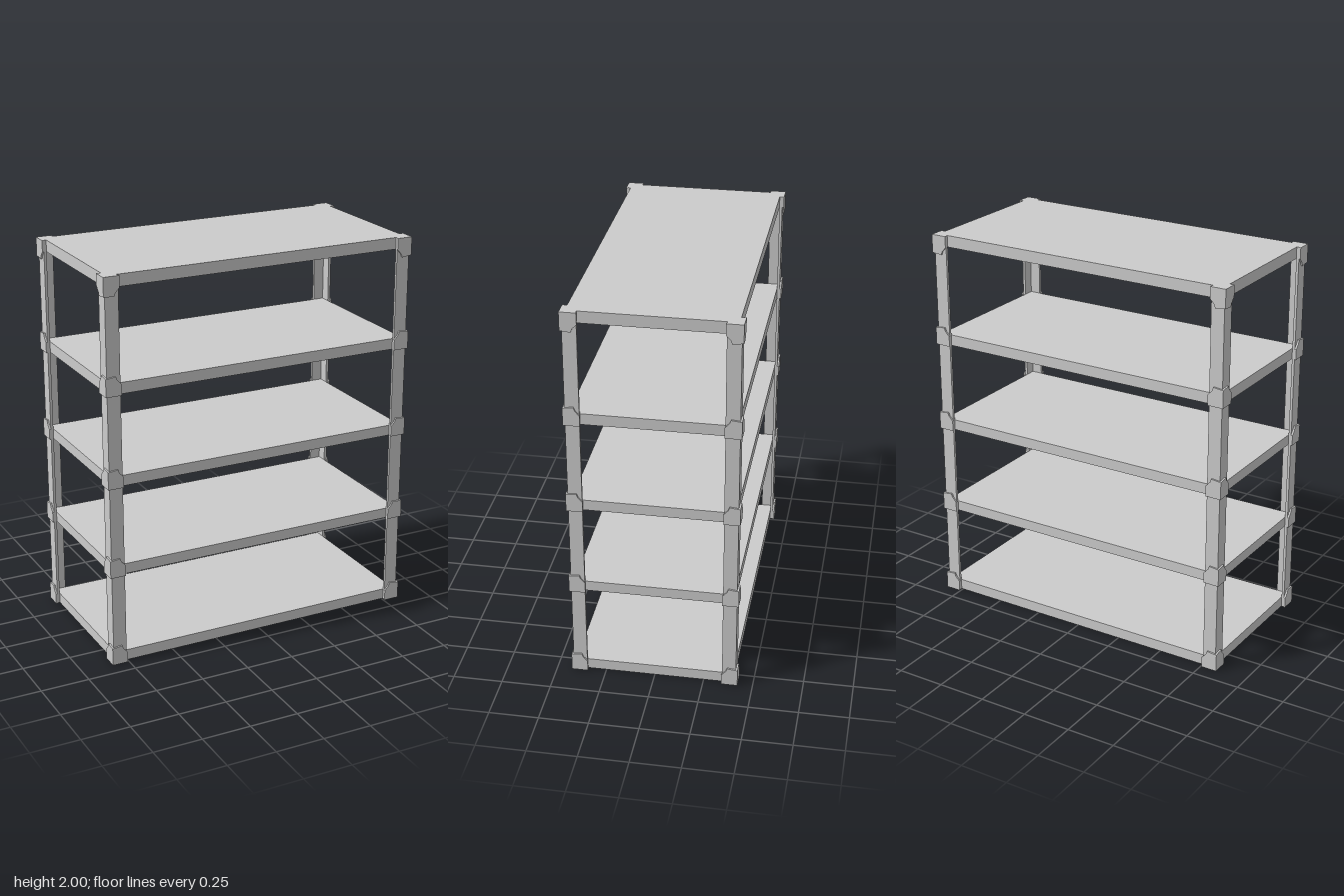
import * as THREE from 'three';

const material = new THREE.MeshStandardMaterial({ color: 0xcccccc, flatShading: true });

const X = 0.838, Z = 0.424;      // outer corner of the brackets
const PLATE = 0.009;             // bracket thickness
const POST = 0.014;              // post sheet thickness
const POST_WIDTH = 0.07;
const HEIGHT = 2;

function mesh(name, geometry) {
  const m = new THREE.Mesh(geometry, material);
  m.name = name;
  return m;
}

function extrude(points, depth) {
  const shape = new THREE.Shape(points.map(([x, y]) => new THREE.Vector2(x, y)));
  return new THREE.ExtrudeGeometry(shape, { depth, bevelEnabled: false });
}

// L-section upright; its outer corner is at the origin, legs run to -x and -z
function createPost() {
  const w = POST_WIDTH, t = POST;
  const geometry = extrude([[0, 0], [-w, 0], [-w, -t], [-t, -t], [-t, -w], [0, -w]], HEIGHT);
  geometry.rotateX(-Math.PI / 2).scale(1, 1, 1);
  // the turn sends the section's y to -z, so swing the legs back to -x and -z
  geometry.rotateY(-Math.PI / 2);
  geometry.translate(-PLATE, 0, -PLATE);
  return mesh('cornerPost', geometry);
}

// Two gusset plates wrapped round the corner, flipped for the top shelf
function createBracket(bottom, height, flipped) {
  const outline = [[0, 0], [0, height - 0.006], [-0.053, height], [-0.06, height - 0.018],
    [-0.082, height - 0.042], [-0.082, 0]];
  const points = outline.map(([x, y]) => [x, flipped ? height - y : y]);
  const group = new THREE.Group();
  group.name = 'cornerBracket';
  const front = extrude(points, PLATE).translate(0, bottom, -PLATE);
  const side = extrude(points, PLATE).translate(0, bottom, -PLATE)
    .rotateY(-Math.PI / 2).translate(-PLATE, 0, 0);
  group.add(mesh('bracketFrontPlate', front), mesh('bracketSidePlate', side));
  return group;
}

export function createModel() {
  const model = new THREE.Group();
  model.name = 'shelfUnit';

  // Shelves: bottom and top heights
  const shelves = [[0, 0.056], [0.477, 0.531], [0.945, 1], [1.415, 1.472], [1.94, 2]];
  const sx = X - PLATE - POST, sz = Z - PLATE - POST;
  for (const [low, high] of shelves) {
    const shelf = mesh('shelf', new THREE.BoxGeometry(sx * 2, high - low, sz * 2));
    shelf.position.y = (low + high) / 2;
    model.add(shelf);
  }

  // Four corners, each a quarter turn from the last
  const corners = [[1, 1], [1, -1], [-1, -1], [-1, 1]];
  corners.forEach(([cx, cz], i) => {
    const corner = new THREE.Group();
    corner.name = 'corner';
    corner.add(createPost());
    shelves.forEach(([low], k) => {
      const top = k === shelves.length - 1;
      corner.add(createBracket(top ? 1.9 : low, top ? 0.1 : 0.097, top));
    });
    corner.position.set(cx * X, 0, cz * Z);
    corner.rotation.y = i * Math.PI / 2;
    model.add(corner);
  });

  return model;
}
